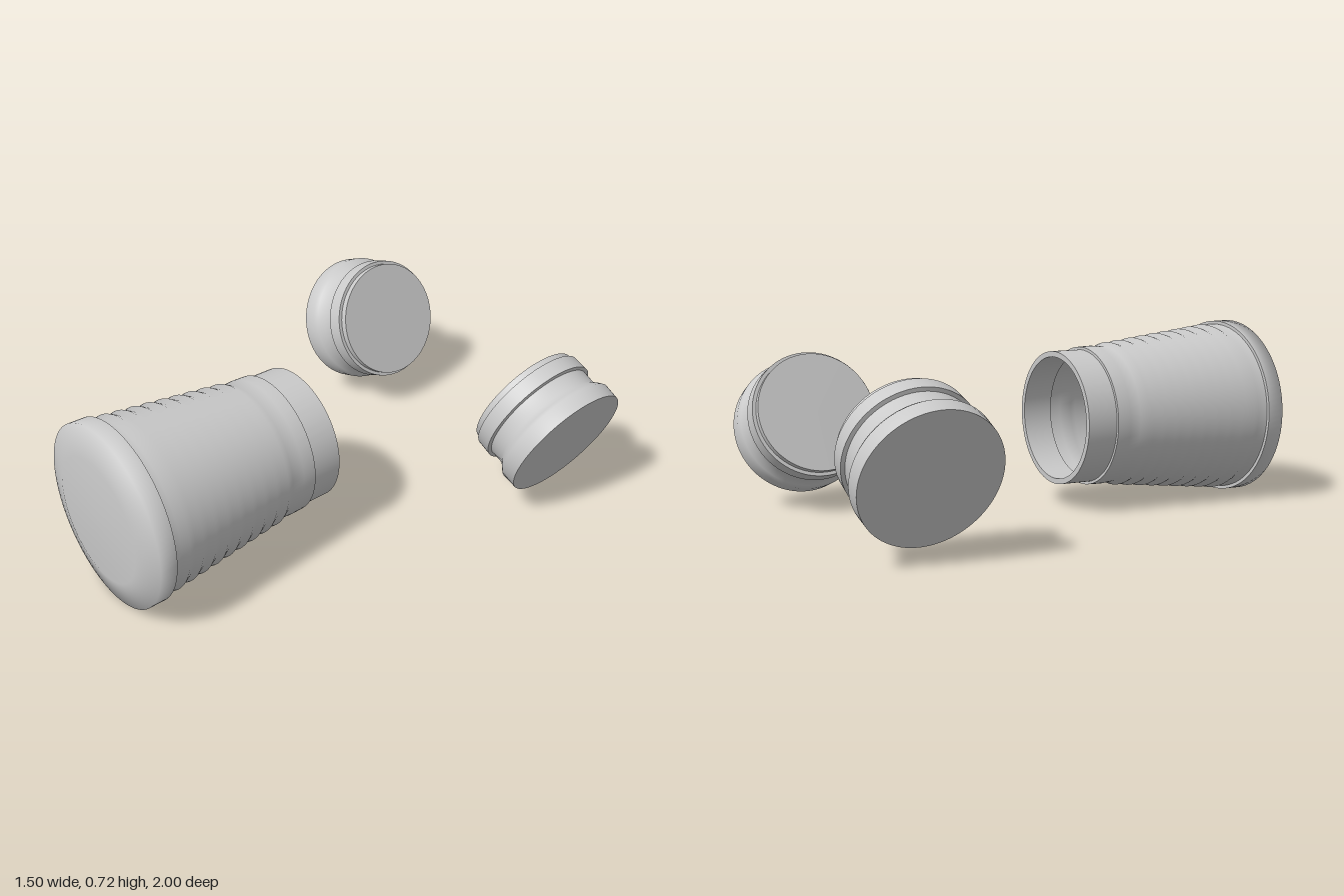
import * as THREE from 'three';
import { toCreasedNormals } from 'three/addons/utils/BufferGeometryUtils.js';

const SEGMENTS = 96;

// Lathe from [radius, height] pairs; the crease angle keeps steps and rims sharp
function turned(profile, crease) {
  const points = profile.map(([r, h]) => new THREE.Vector2(r, h));
  const geometry = new THREE.LatheGeometry(points, SEGMENTS);
  return crease ? toCreasedNormals(geometry, crease) : geometry;
}

// Corrugated wall, running from the collar towards the closed end
function ridges(offset) {
  const points = [];
  for (let i = 8; i >= 0; i--) {
    const h = 0.836 - 0.059 * i;
    const peak = 0.345 - 0.116 * (0.836 - h) - offset;
    points.push([peak - 0.015, h - 0.03], [peak, h]);
  }
  points.push([0.334 - offset, 0.866], [0.345 - offset, 0.893]);
  return points;
}

export function createModel() {
  const model = new THREE.Group();
  const grey = new THREE.MeshStandardMaterial({ color: 0xcacaca });
  grey.name = 'light grey';

  const add = (parent, name, geometry) => {
    const mesh = new THREE.Mesh(geometry, grey);
    mesh.name = name;
    parent.add(mesh);
  };

  // Hollow ridged cup lying along z, open at the back
  const cup = new THREE.Group();
  cup.name = 'cup';
  cup.position.y = 0.363;
  cup.rotation.x = Math.PI / 2;
  add(cup, 'ridgedSleeve', turned([
    [0, 0.96], [0.32, 0.96],
    ...ridges(0.022).reverse(),
    [0.258, 0.285], [0.258, 0.23], [0.243, 0.23], [0.243, 0.105],
    [0.265, 0.105], [0.266, 0.23], [0.277, 0.23], [0.279, 0.285],
    ...ridges(0),
    [0.345, 0.9], [0.358, 0.9],
  ], 0.95));

  // Softly shaded closed end
  add(cup, 'endCap', turned([
    [0.358, 0.9], [0.359, 0.968], [0.245, 0.999], [0, 1],
  ]));
  model.add(cup);

  // Two tilted plugs, mirrored across x
  const plugGeometry = turned([
    [0, 0], [0.239, 0], [0.239, 0.028], [0.253, 0.028], [0.255, 0.092],
    [0.241, 0.096], [0.239, 0.158], [0.257, 0.181], [0.267, 0.197],
    [0.264, 0.2615], [0, 0.2615],
  ], 0.95);
  const tilt = Math.atan2(-0.9255, -0.3786);
  for (const side of [1, -1]) {
    const plug = new THREE.Group();
    plug.name = side > 0 ? 'leftPlug' : 'rightPlug';
    plug.position.set(0.408 * side, 0.396, -0.734);
    plug.rotation.z = tilt * side;
    add(plug, 'plugBody', plugGeometry);
    model.add(plug);
  }
  return model;
}
